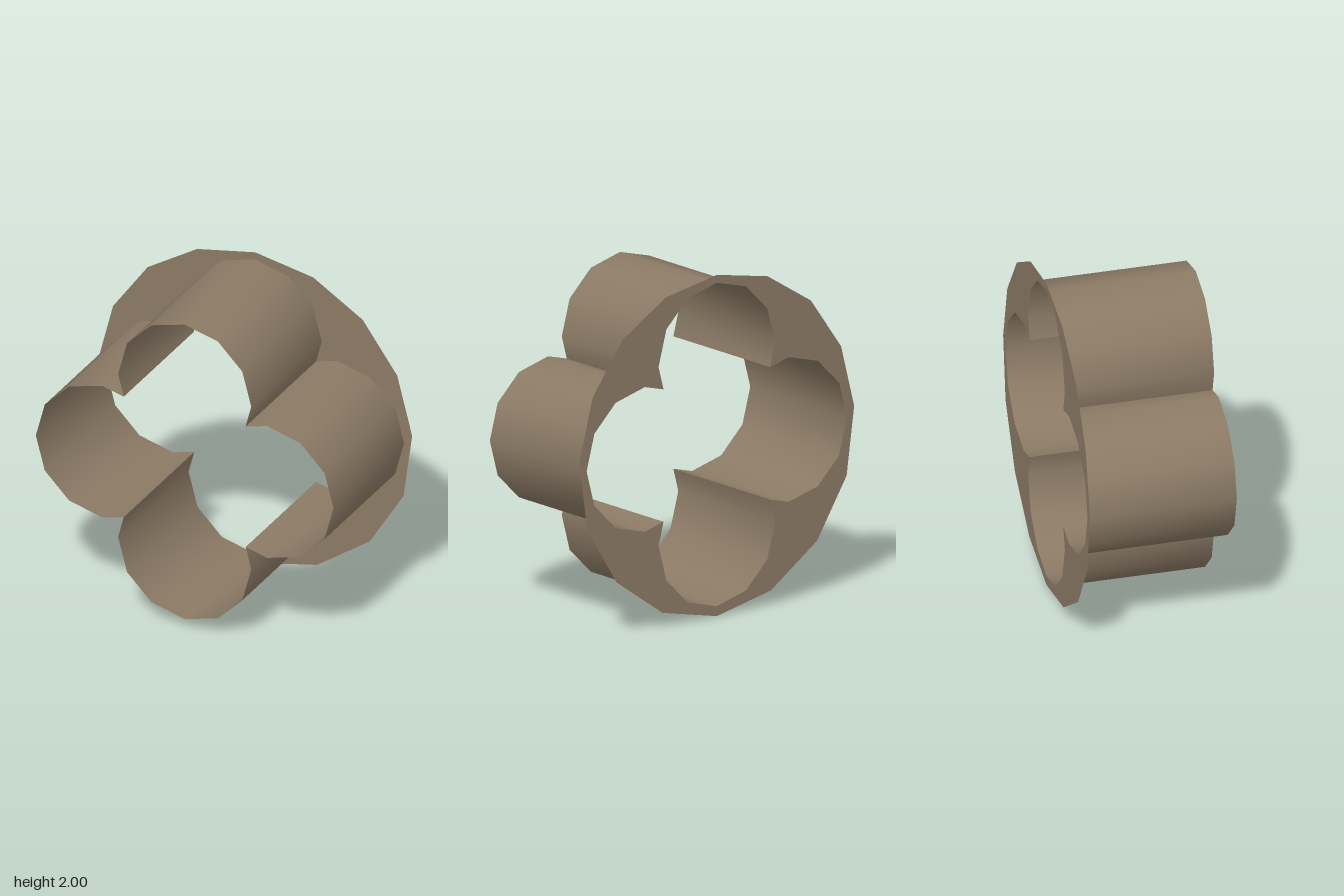
import * as THREE from 'three';

const CENTER_Y = 1.006;
const HALF_DEPTH = 0.436;
const LOBE_RADIUS = 0.424;
const LOBE_OFFSET = 0.524;
const CUSP = 0.388;

// Cross-section of one lobe: cusp, half circle in 30 degree steps, cusp
function lobePoints(turn) {
  const points = [new THREE.Vector2(CUSP, CUSP)];
  for (let i = 0; i <= 6; i++) {
    const a = (i * Math.PI) / 6;
    points.push(new THREE.Vector2(LOBE_RADIUS * Math.cos(a), LOBE_OFFSET + LOBE_RADIUS * Math.sin(a)));
  }
  points.push(new THREE.Vector2(-CUSP, CUSP));
  const origin = new THREE.Vector2();
  return points.map((p) => p.rotateAround(origin, (turn * Math.PI) / 2).add(new THREE.Vector2(0, CENTER_Y)));
}

// Thin wall swept along z from a cross-section, smooth within the lobe
function wallGeometry(points) {
  const n = points.length;
  const geometry = new THREE.PlaneGeometry(1, 1, n - 1, 1);
  const pos = geometry.attributes.position;
  for (let i = 0; i < pos.count; i++) {
    const p = points[i % n];
    pos.setXYZ(i, p.x, p.y, i < n ? -HALF_DEPTH : HALF_DEPTH);
  }
  geometry.computeVertexNormals();
  return geometry;
}

export function createModel() {
  const group = new THREE.Group();
  const clay = new THREE.MeshStandardMaterial({ color: 0x8b7a65, side: THREE.DoubleSide });
  clay.name = 'brown clay';

  // Four open lobes forming the cutter wall
  const outline = [];
  for (let turn = 0; turn < 4; turn++) {
    const points = lobePoints(turn);
    const wall = new THREE.Mesh(wallGeometry(points), clay);
    wall.name = `lobeWall${turn + 1}`;
    group.add(wall);
    outline.push(...points.slice(0, -1));
  }

  // Flat rim at the back, mirrored left and right, with the lobes cut out
  const side = [
    [0.37, 1.93], [0.685, 1.735], [0.905, 1.43], [1, 1.065],
    [0.945, 0.665], [0.73, 0.32], [0.395, 0.085],
  ];
  const rim = [[0, 2], ...side, [0, 0], ...side.map(([x, y]) => [-x, y]).reverse()];
  const shape = new THREE.Shape(rim.map(([x, y]) => new THREE.Vector2(x, y)));
  shape.holes.push(new THREE.Path(outline));
  const plate = new THREE.Mesh(new THREE.ShapeGeometry(shape), clay);
  plate.name = 'backRim';
  plate.position.z = -HALF_DEPTH;
  group.add(plate);

  return group;
}
